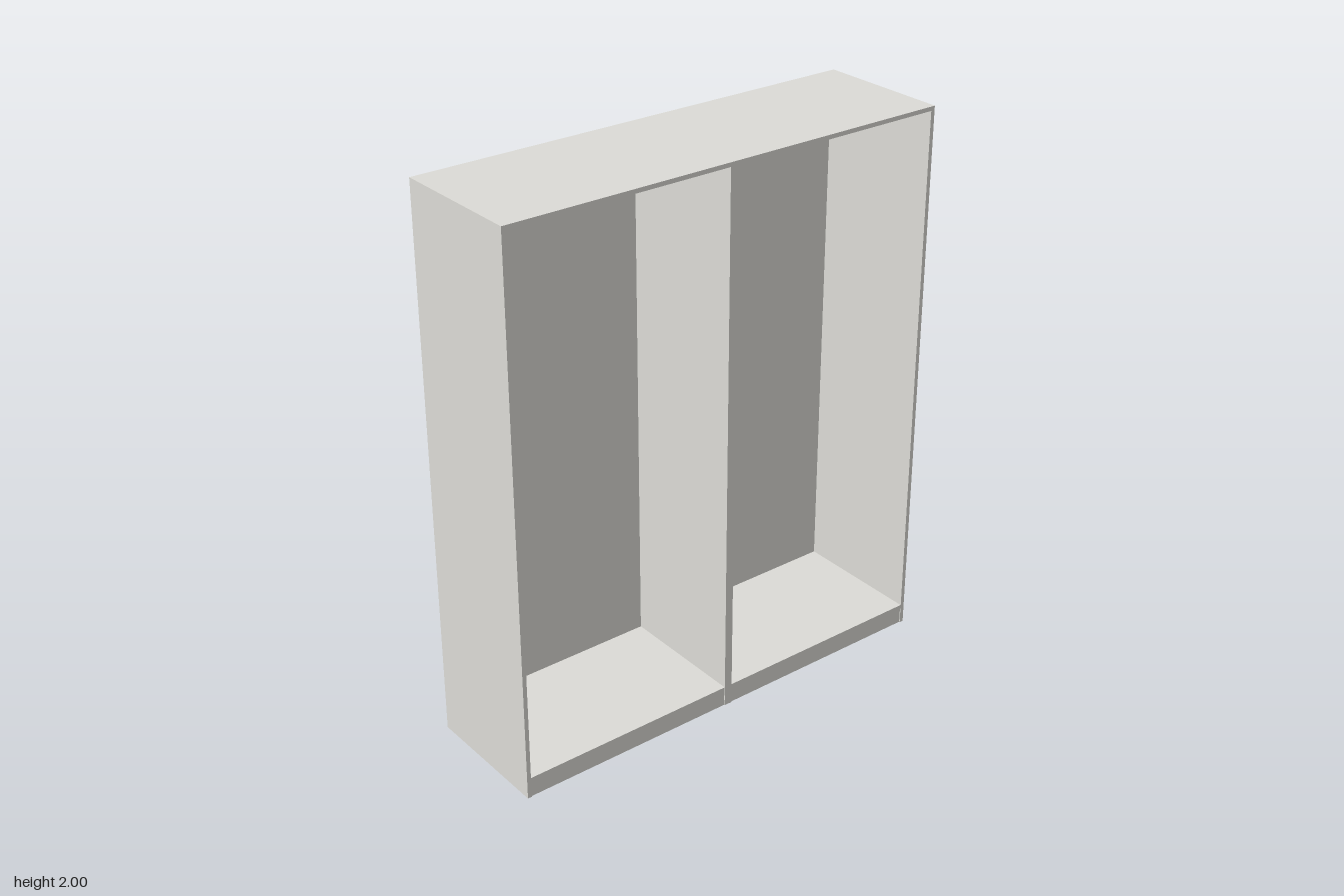
import * as THREE from 'three';

export function createModel() {
  const group = new THREE.Group();
  const paint = new THREE.MeshStandardMaterial({ color: 0xdcdbd6 });
  paint.name = 'pale grey paint';
  const board = new THREE.MeshStandardMaterial({ color: 0x916e5a });
  board.name = 'brown backing board';

  const W = 0.842, H = 2, D = 0.245, T = 0.015, FLOOR = 0.075;

  // Box given by its min and max corners
  function box(parent, name, mat, x0, x1, y0, y1, z0, z1) {
    const mesh = new THREE.Mesh(new THREE.BoxGeometry(x1 - x0, y1 - y0, z1 - z0), mat);
    mesh.position.set((x0 + x1) / 2, (y0 + y1) / 2, (z0 + z1) / 2);
    mesh.name = name;
    parent.add(mesh);
  }

  // Hook profile of the small hanging bracket
  const hook = new THREE.Shape([
    [0, 0], [0.03, 0], [0.03, 0.04], [0.015, 0.04], [0.015, 0.034],
    [0.024, 0.034], [0.024, 0.006], [0, 0.006],
  ].map(([x, y]) => new THREE.Vector2(x, y)));
  const hookGeometry = new THREE.ExtrudeGeometry(hook, { depth: 0.015, bevelEnabled: false });

  // Two identical open cabinets side by side
  for (const side of [-1, 1]) {
    const cabinet = new THREE.Group();
    cabinet.name = side < 0 ? 'rightCabinet' : 'leftCabinet';
    cabinet.position.x = side * W / 2;
    const h = W / 2, inner = h - T;

    box(cabinet, 'sidePanelRight', paint, -h, -inner, 0, H, -D, D);
    box(cabinet, 'sidePanelLeft', paint, inner, h, 0, H, -D, D);
    box(cabinet, 'topPanel', paint, -inner, inner, H - T, H, -D, D);
    box(cabinet, 'floorPanel', paint, -inner, inner, FLOOR - T, FLOOR, -D + 0.004, D - 0.001);
    box(cabinet, 'frontPlinth', paint, -inner, inner, 0, FLOOR - T, D - 0.018, D - 0.003);
    box(cabinet, 'backPlinth', paint, -inner, inner, 0, FLOOR - T, -D + 0.005, -D + 0.02);

    // Back wall: painted inside, brown outside
    box(cabinet, 'backWall', paint, -inner, inner, FLOOR, H - T, -D + 0.002, -D + 0.006);
    box(cabinet, 'backingBoard', board, -h + 0.005, h - 0.005, 0.058, H - 0.005, -D - 0.001, -D + 0.001);

    // Hanging brackets in the upper back corners
    for (const s of [-1, 1]) {
      const bracket = new THREE.Mesh(hookGeometry, paint);
      bracket.name = 'hangingBracket';
      bracket.position.set(s * (inner - 0.015) - 0.015, 1.905, -D + 0.006);
      cabinet.add(bracket);
    }
    group.add(cabinet);
  }
  return group;
}
